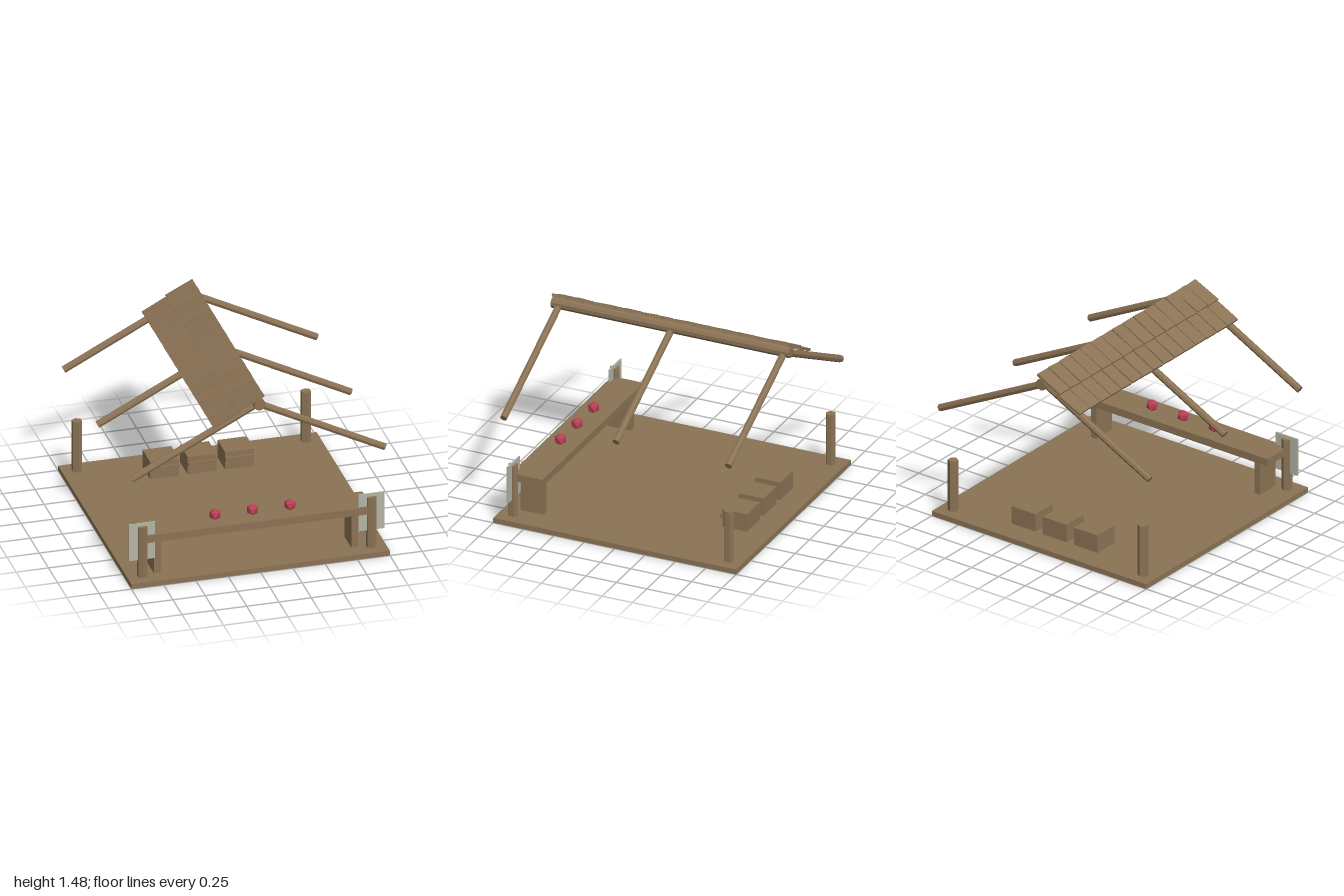
import * as THREE from 'three';

export function createModel() {
  const model = new THREE.Group();
  const wood = new THREE.MeshStandardMaterial({ color: 0x8b7355 });
  wood.name = 'wood';
  const cloth = new THREE.MeshStandardMaterial({ color: 0xb4b3a4 });
  cloth.name = 'pale panel';
  const ruby = new THREE.MeshStandardMaterial({ color: 0xb83e55 });
  ruby.name = 'ruby red';

  const add = (name, geometry, material, x, y, z) => {
    const mesh = new THREE.Mesh(geometry, material);
    mesh.name = name;
    mesh.position.set(x, y, z);
    model.add(mesh);
    return mesh;
  };
  const box = (name, w, h, d, x, y, z, material = wood) =>
    add(name, new THREE.BoxGeometry(w, h, d), material, x, y, z);
  // Faceted round timber
  const pole = (radius, length, sides) =>
    new THREE.CylinderGeometry(radius, radius, length, sides).toNonIndexed();
  const faceted = (geometry) => {
    geometry.computeVertexNormals();
    return geometry;
  };

  // Small seeded generator for hand-laid unevenness
  let seed = 7;
  const jitter = (amount) => {
    seed = (seed * 16807) % 2147483647;
    return (seed / 2147483647 - 0.5) * 2 * amount;
  };

  // Platform
  box('floor', 2, 0.04, 2, 0, 0.02, 0);

  // Corner posts
  for (const x of [-0.886, 0.886])
    for (const z of [-0.889, 0.889])
      add('cornerPost', faceted(pole(0.04, 0.42, 6)), wood, x, 0.248, z);

  // Counter with its supports and side panels
  box('counterTop', 1.77, 0.06, 0.26, 0, 0.35, 0.78);
  for (const s of [-1, 1]) {
    box('counterSupport', 0.053, 0.28, 0.19, s * 0.764, 0.18, 0.78);
    box('sidePanel', 0.203, 0.304, 0.012, s * 0.888, 0.331, 0.888, cloth);
  }

  // Gems on the counter and crates at the back
  for (const x of [-0.29, 0, 0.29]) {
    const gem = new THREE.IcosahedronGeometry(0.048, 0);
    gem.rotateZ(-Math.atan(2 / (1 + Math.sqrt(5))));
    add('gem', gem, ruby, x, 0.42, 0.782);
    box('crate', 0.222, 0.145, 0.208, x, 0.1125, -0.703);
    box('crateBand', 0.222, 0.03, 0.02, x, 0.128, -0.593);
  }

  // Ridge beam
  const ridge = add('ridgeBeam', faceted(pole(0.045, 1.96, 10)), wood, 0, 1.39, 0);
  ridge.rotation.x = Math.PI / 2;

  // Sloping rafters
  const slope = Math.atan(0.512);
  for (const z of [-0.925, 0, 0.925])
    for (const s of [-1, 1]) {
      const rafter = add('rafter', faceted(pole(0.028, 1.1, 8)), wood, s * 0.49, 1.129, z);
      rafter.rotation.z = s * (Math.PI / 2 - slope);
    }

  // Two overlapping rows of shingles on one slope
  const rows = [[-0.253, 1.302], [-0.07, 1.411]];
  for (const [x, y] of rows)
    for (let i = 0; i < 15; i++) {
      const shingle = box('shingle', 0.235, 0.02, 0.122, x, y, (i - 7) * 0.1307);
      shingle.rotation.set(jitter(0.05), jitter(0.02), slope + jitter(0.015));
    }

  return model;
}
